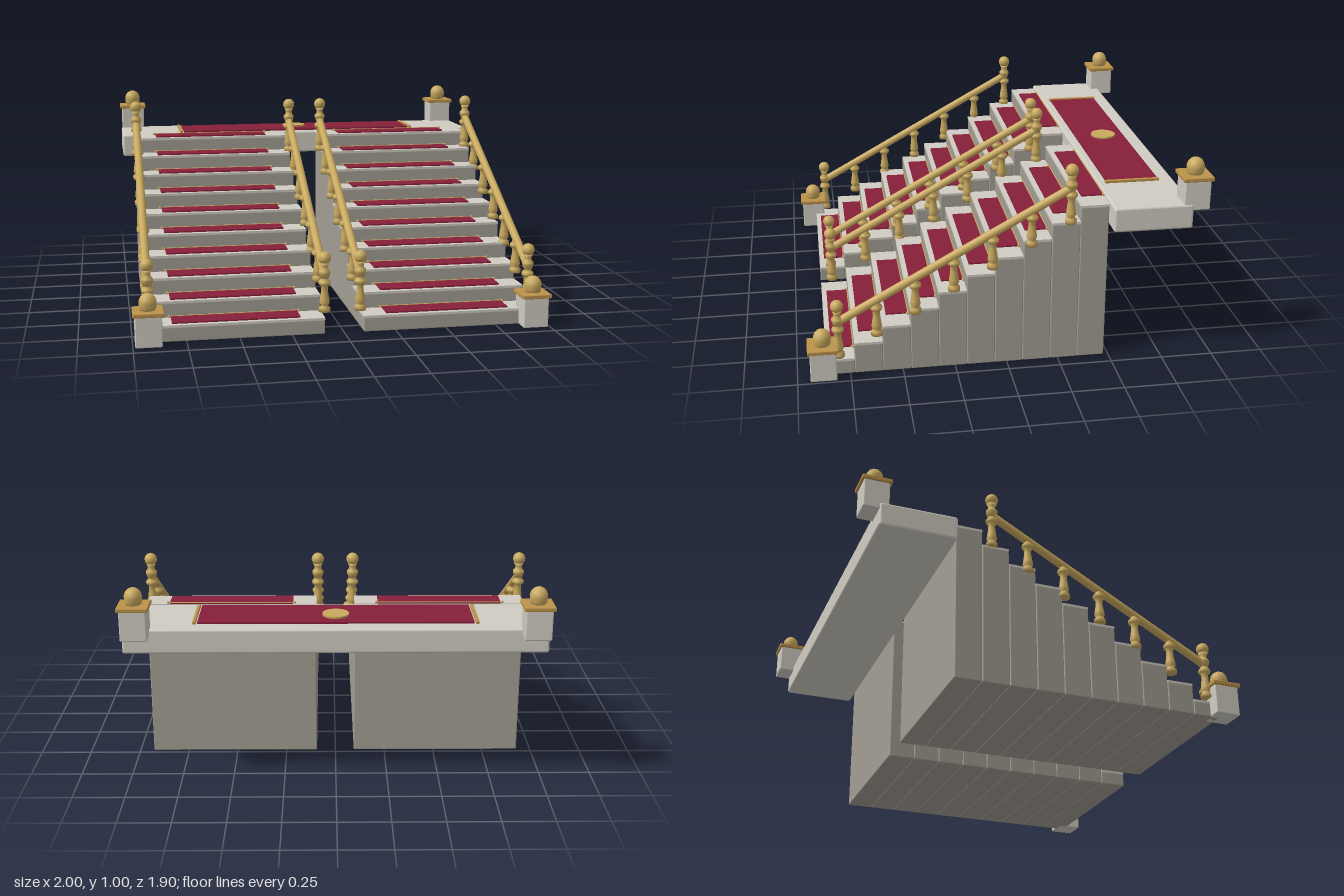
import * as THREE from 'three';
import { RoundedBoxGeometry } from 'three/addons/geometries/RoundedBoxGeometry.js';

const material = (name, color) => {
  const m = new THREE.MeshStandardMaterial({ color });
  m.name = name;
  return m;
};

export function createModel() {
  const model = new THREE.Group();
  model.name = 'doubleStaircase';
  const cream = material('creamStone', 0xd0ccc2);
  const grey = material('greyStone', 0xa39e94);
  const red = material('redCarpet', 0x87203a);
  const gold = material('gold', 0xc9a95e);
  const bronze = material('bronze', 0xbc924a);

  const add = (parent, name, geometry, mat, x, y, z) => {
    const mesh = new THREE.Mesh(geometry, mat);
    mesh.name = name;
    mesh.position.set(x, y, z);
    parent.add(mesh);
    return mesh;
  };
  const box = (w, h, d, r = 0) =>
    r ? new RoundedBoxGeometry(w, h, d, 2, r) : new THREE.BoxGeometry(w, h, d);
  const lathe = (points) =>
    new THREE.LatheGeometry(points.map(([r, y]) => new THREE.Vector2(r, y)), 16);

  const STEPS = 10, RISE = 0.079, RUN = 0.134, FRONT = 0.862;

  // Turned baluster, from its foot to the handrail
  const balusterShape = lathe([
    [0, 0], [0.028, 0], [0.028, 0.02], [0.02, 0.026], [0.02, 0.036], [0.025, 0.044],
    [0.023, 0.06], [0.017, 0.1], [0.017, 0.125], [0.027, 0.133], [0.03, 0.142],
    [0.027, 0.151], [0.017, 0.16], [0.017, 0.185], [0, 0.185],
  ]);
  // Collar and neck under the ball of each end post
  const neckShape = lathe([
    [0, 0.165], [0.02, 0.165], [0.028, 0.19], [0.028, 0.2], [0.018, 0.21],
    [0.017, 0.225], [0.024, 0.24], [0, 0.245],
  ]);
  const ballShape = new THREE.SphereGeometry(0.031, 16, 12);

  const buildRailing = (x) => {
    const railing = new THREE.Group();
    railing.name = 'railing';
    model.add(railing);
    const z0 = 0.802, z1 = -0.296, foot0 = 0.094, foot1 = 0.706, count = 7;
    for (let i = 0; i < count; i++) {
      const t = i / (count - 1);
      const z = THREE.MathUtils.lerp(z0, z1, t);
      const y = THREE.MathUtils.lerp(foot0, foot1, t);
      add(railing, 'baluster', balusterShape, gold, x, y, z);
      if (i === 0 || i === count - 1) {
        add(railing, 'postNeck', neckShape, gold, x, y, z);
        add(railing, 'postBall', ballShape, gold, x, y + 0.262, z);
      }
    }
    const path = new THREE.LineCurve3(
      new THREE.Vector3(x, foot0 + 0.18, z0), new THREE.Vector3(x, foot1 + 0.175, z1));
    add(railing, 'handrail', new THREE.TubeGeometry(path, 1, 0.02, 12), gold, 0, 0, 0);
  };

  const buildFlight = (side) => {
    const flight = new THREE.Group();
    flight.name = side > 0 ? 'leftFlight' : 'rightFlight';
    model.add(flight);
    const x = side * 0.512, width = 0.836;
    for (let i = 0; i < STEPS; i++) {
      const top = RISE * (i + 1);
      const z = FRONT - RUN * (i + 0.5);
      add(flight, 'stepBlock', box(width, top - 0.008, RUN, 0.006), grey, x, (top - 0.008) / 2, z);
      add(flight, 'tread', box(width, 0.01, RUN), cream, x, top - 0.005, z);
      add(flight, 'stepCarpet', box(0.606, 0.007, 0.108), red, x, top + 0.0035, z - 0.012);
      // Carpet rod with small end knobs, tucked against the riser behind
      const rodZ = z - RUN / 2 + 0.002;
      const rod = add(flight, 'carpetRod', new THREE.CylinderGeometry(0.003, 0.003, 0.62, 8),
        gold, x, top + 0.007, rodZ);
      rod.rotation.z = Math.PI / 2;
      for (const end of [-1, 1])
        add(flight, 'rodKnob', new THREE.SphereGeometry(0.007, 8, 6), gold,
          x + end * 0.311, top + 0.007, rodZ + 0.003);
    }
    buildRailing(side * 0.925);
    buildRailing(side * 0.087);
  };

  // Square pedestal with a bronze cap and domed finial
  const finialShape = lathe([
    [0, 0], [0.034, 0], [0.04, 0.012], [0.042, 0.035], [0.041, 0.046],
    [0.036, 0.06], [0.026, 0.072], [0.013, 0.079], [0, 0.081],
  ]);
  const buildPedestal = (x, y, z, height) => {
    const pedestal = new THREE.Group();
    pedestal.name = 'pedestal';
    pedestal.position.set(x, y, z);
    model.add(pedestal);
    add(pedestal, 'pedestalBlock', box(0.125, height, 0.125, 0.006), cream, 0, height / 2, 0);
    add(pedestal, 'pedestalCap', box(0.145, 0.02, 0.145, 0.004), bronze, 0, height + 0.006, 0);
    add(pedestal, 'finial', finialShape, gold, 0, height + 0.014, 0);
  };

  for (const side of [-1, 1]) {
    buildFlight(side);
    buildPedestal(side * 0.927, 0, 0.877, 0.149);
    buildPedestal(side * 0.927, 0.76, -0.88, 0.147);
  }

  // Landing with its carpet, end bars and round medallion
  add(model, 'landing', box(1.99, 0.12, 0.378, 0.012), cream, 0, 0.732, -0.676);
  add(model, 'landingCarpet', box(1.3, 0.01, 0.256), red, 0, 0.796, -0.657);
  for (const side of [-1, 1])
    add(model, 'carpetBar', box(0.016, 0.016, 0.27, 0.004), bronze, side * 0.665, 0.798, -0.656);
  add(model, 'medallion', new THREE.CylinderGeometry(0.064, 0.064, 0.01, 24), gold, 0, 0.805, -0.677);

  return model;
}
